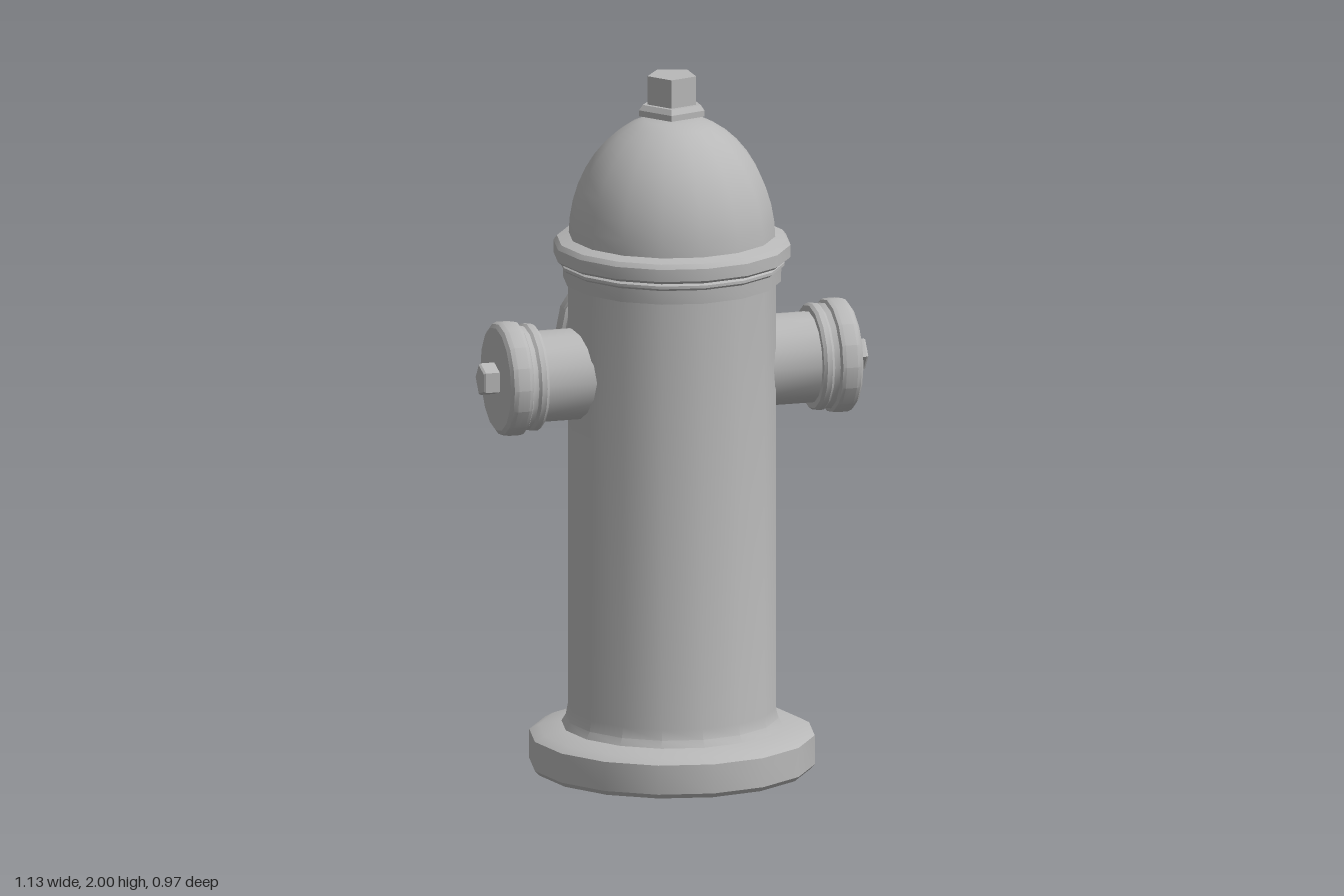
import * as THREE from 'three';
import { toCreasedNormals } from 'three/addons/utils/BufferGeometryUtils.js';

const AXIS_Z = 0.08; // the barrel stands forward of centre
const OUTLET_Y = 1.155;

export function createModel() {
  const metal = new THREE.MeshStandardMaterial({ color: 0xb8b8b8 });
  metal.name = 'castMetal';

  // Turned part from [radius, height] pairs: round sides smooth, steps sharp
  function turned(name, profile, sides = 16) {
    const points = profile.map(([r, y]) => new THREE.Vector2(r, y));
    const lathe = new THREE.LatheGeometry(points, sides);
    const mesh = new THREE.Mesh(toCreasedNormals(lathe, 0.45), metal);
    mesh.name = name;
    return mesh;
  }

  const hydrant = new THREE.Group();
  hydrant.name = 'hydrant';

  // Foot flange and barrel
  hydrant.add(turned('barrel', [
    [0, 0], [0.39, 0], [0.403, 0.014], [0.403, 0.098], [0.375, 0.113],
    [0.312, 0.125], [0.3, 0.145], [0.294, 0.175], [0.294, 1.42],
  ]));

  // Stepped collar and brim
  hydrant.add(turned('collar', [
    [0.285, 1.405], [0.307, 1.408], [0.309, 1.448], [0.318, 1.455], [0.318, 1.463],
    [0.31, 1.468], [0.325, 1.472], [0.335, 1.48], [0.335, 1.515], [0.325, 1.528], [0.285, 1.54],
  ]));

  // Domed bonnet with a small flat top
  const dome = [];
  const steps = 9;
  const end = Math.acos(0.08 / 0.292);
  for (let i = 0; i <= steps; i++) {
    const a = (i / steps) * end;
    dome.push([0.292 * Math.cos(a), 1.53 + 0.357 * Math.sin(a)]);
  }
  dome.push([0, 1.873]);
  hydrant.add(turned('bonnet', dome));

  // Five-sided operating nut
  const nut = turned('operatingNut', [
    [0, 1.886], [0.097, 1.886], [0.097, 1.903], [0.086, 1.918],
    [0.072, 1.918], [0.072, 2], [0, 2],
  ], 5);
  nut.rotation.y = -Math.PI / 2;
  hydrant.add(nut);

  // Hose outlet: pipe, stepped cap and five-sided cap nut, turned along its own axis
  function outlet(name, pipeR, capR, turn) {
    const pivot = new THREE.Group();
    pivot.name = name;
    const parts = new THREE.Group();
    parts.rotation.z = -Math.PI / 2;
    parts.add(
      turned('pipe', [[pipeR, 0.2], [pipeR, 0.41]]),
      turned('cap', [
        [0, 0.403], [capR - 0.016, 0.403], [capR - 0.01, 0.412], [capR - 0.01, 0.427],
        [capR - 0.016, 0.435], [capR - 0.012, 0.45], [capR - 0.003, 0.455], [capR, 0.465],
        [capR, 0.498], [capR - 0.005, 0.51], [capR - 0.016, 0.518], [0, 0.518],
      ]),
      turned('capNut', [
        [0.048, 0.51], [0.048, 0.558], [0.043, 0.564], [0, 0.564],
      ], 5),
    );
    pivot.add(parts);
    pivot.position.y = OUTLET_Y;
    pivot.rotation.y = turn;
    return pivot;
  }
  hydrant.add(
    outlet('leftOutlet', 0.13, 0.163, 0),
    outlet('rightOutlet', 0.13, 0.163, Math.PI),
    outlet('backOutlet', 0.158, 0.19, Math.PI / 2),
  );

  hydrant.position.z = AXIS_Z;
  const model = new THREE.Group();
  model.add(hydrant);
  return model;
}
